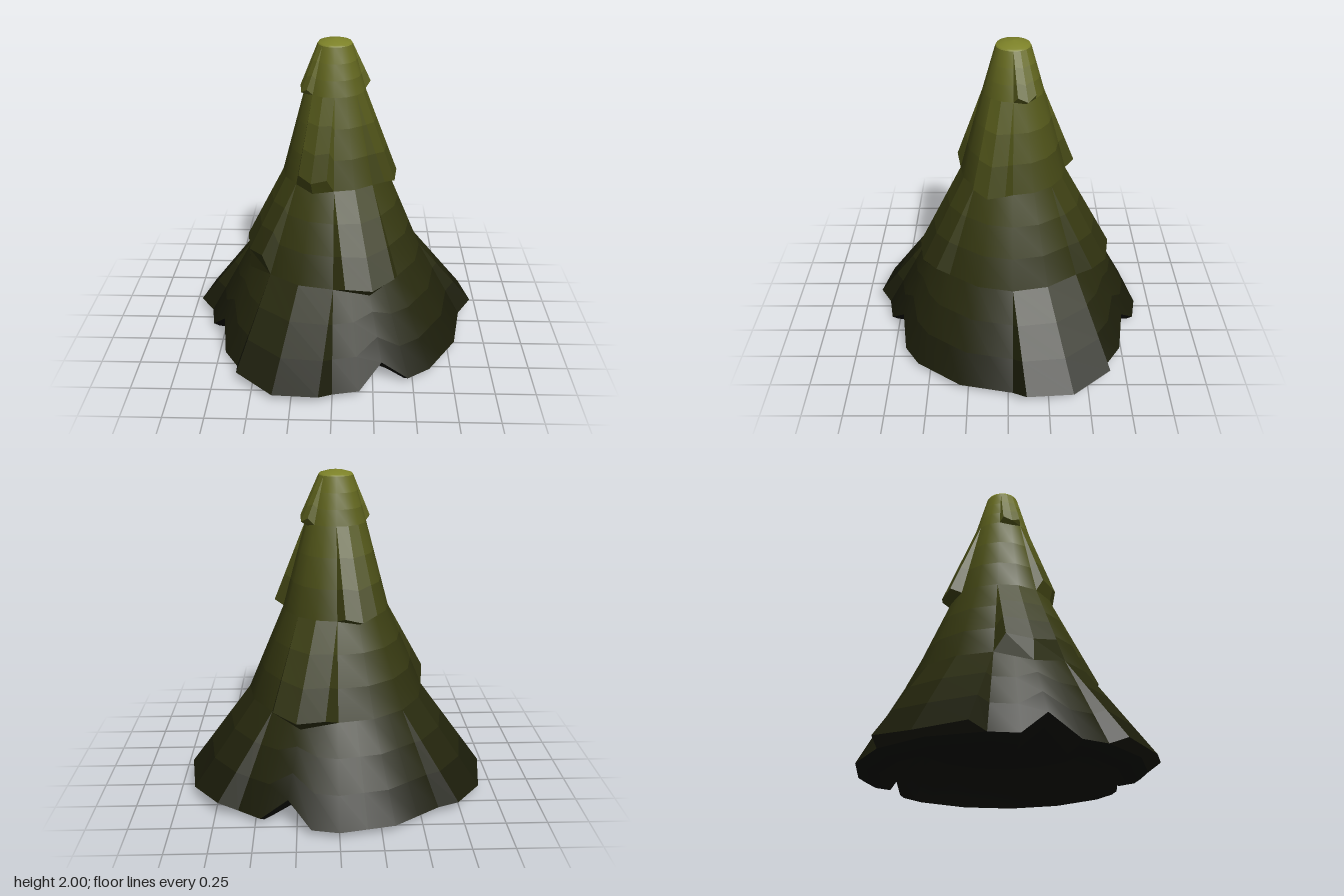
import * as THREE from 'three';
import { toCreasedNormals } from 'three/addons/utils/BufferGeometryUtils.js';

const AXIS_Z = -0.03;
const BANDS = 3;
// Height and radius where the tiers meet, top to bottom, with the colour there
const RINGS = [[1.97, 0.105], [1.69, 0.185], [1.15, 0.33], [0.6, 0.56], [0.045, 0.86]];
const COLORS = [0x6c7022, 0x575b1b, 0x3e4113, 0x2a2c0e, 0x171809].map(c => new THREE.Color(c));

const lerp = (a, b, t) => a.map((v, i) => v + (b[i] - v) * t);
const polar = (deg, r, y) => {
  const a = THREE.MathUtils.degToRad(deg);
  return [r * Math.sin(a), y, r * Math.cos(a)];
};

// Cone radius at a height
function coneRadius(y) {
  let i = 0;
  while (i < RINGS.length - 2 && y < RINGS[i + 1][0]) i++;
  const [y0, r0] = RINGS[i], [y1, r1] = RINGS[i + 1];
  return r0 + (r1 - r0) * (y - y0) / (y1 - y0);
}

// Creased geometry from four-cornered faces, counter-clockwise from outside
function fromQuads(quads, crease) {
  const pos = [];
  for (const [a, b, c, d] of quads) pos.push(...a, ...b, ...c, ...a, ...c, ...d);
  const g = new THREE.BufferGeometry();
  g.setAttribute('position', new THREE.Float32BufferAttribute(pos, 3));
  g.computeVertexNormals();
  return toCreasedNormals(g, crease);
}

// Faces of one colour band of a strip between a top and a bottom row of points
function bandQuads(top, low, band) {
  const a = top.map((p, i) => lerp(p, low[i], band / BANDS));
  const b = top.map((p, i) => lerp(p, low[i], (band + 1) / BANDS));
  return a.slice(1).map((p, i) => [a[i], b[i], b[i + 1], p]);
}

// Raised bough: a wedge growing out of the cone over one tier and a 45 degree sector
function boughBand(a0, tier, thick, rise, band) {
  const yTop = RINGS[tier][0], yBot = RINGS[tier + 1][0];
  const inset = tier === 3 ? 5 : 7;
  const dip = [0.015, 0.025, 0.05, 0][tier];
  const base = [a0, a0 + 22.5, a0 + 45];
  const outer = [a0 + inset, a0 + 22.5, a0 + 45 - inset];
  const top = base.map(a => polar(a, coneRadius(yTop), yTop));
  const lowBase = base.map((a, i) => {
    const y = yBot - (i === 1 ? dip : 0);
    return polar(a, coneRadius(y), y);
  });
  const lowOut = outer.map((a, i) => {
    const y = yBot + rise + (i === 1 ? 0 : 0.03);
    return polar(a, coneRadius(y) + thick * (i === 1 ? 1 : 0.95), y);
  });
  const quads = bandQuads(
    [top[0], ...top, top[2]],
    [lowBase[0], ...lowOut, lowBase[2]], band);
  if (band === BANDS - 1) {
    for (let i = 0; i < 2; i++) quads.push([lowOut[i], lowBase[i], lowBase[i + 1], lowOut[i + 1]]);
  }
  return fromQuads(quads, 0.1);
}

// Columns of the notched bottom tier, from its top edge round the rim into the hollow
const NOTCHES = [22.5, 157.5, 292.5];
const skirt = Array.from({ length: 33 }, (_, k) => {
  const a = (k % 32) * 11.25;
  const chord = k % 2 ? Math.cos(Math.PI / 16) : 1;
  const cut = NOTCHES.includes(a) ? 1 : 0;
  const rimY = RINGS[4][0] + 0.14 * cut;
  return [
    polar(a, RINGS[3][1] * chord, RINGS[3][0]),
    polar(a, coneRadius(rimY) * chord, rimY),
    polar(a, (0.82 - 0.06 * cut) * chord, 0.02 + 0.13 * cut),
    polar(a, 0.72 * chord, 0.12 * cut),
    polar(a, 0.66 * chord, 0.1 + 0.06 * cut),
    polar(a, 0.54 * chord, 0.22),
    [0, 0.23, 0],
  ];
});

function undersideGeometry() {
  const quads = [];
  for (let k = 0; k < 32; k++) {
    const l = skirt[k], r = skirt[k + 1];
    for (let j = 1; j < l.length - 1; j++) quads.push([l[j], l[j + 1], r[j + 1], r[j]]);
  }
  return fromQuads(quads, 0.5);
}

export function createModel() {
  const model = new THREE.Group();
  model.name = 'coniferFoliage';
  model.position.z = AXIS_Z;
  const tree = new THREE.Group();
  tree.name = 'tree';
  model.add(tree);

  const add = (name, geometry, material, parent = tree) => {
    const mesh = new THREE.Mesh(geometry, material);
    mesh.name = name;
    parent.add(mesh);
  };
  const addGroup = name => {
    const group = new THREE.Group();
    group.name = name;
    tree.add(group);
    return group;
  };
  // Colours darken band by band towards the ground
  const materials = RINGS.slice(1).map((_, tier) => Array.from({ length: BANDS }, (_, band) =>
    new THREE.MeshStandardMaterial({
      color: COLORS[tier].clone().lerp(COLORS[tier + 1], (band + 0.5) / BANDS),
    })));

  // Rounded tip
  const tip = [[0.105, 1.97], [0.098, 1.98], [0.05, 1.994], [0, 2]].map(p => new THREE.Vector2(...p));
  add('tip', new THREE.LatheGeometry(tip, 16), new THREE.MeshStandardMaterial({ color: 0x7d8228 }));

  // Four tiers of the cone, the lowest with its notched rim
  ['topTier', 'upperTier', 'middleTier', 'bottomTier'].forEach((name, tier) => {
    const group = addGroup(name);
    const ring = ([y, r]) => Array.from({ length: 17 }, (_, k) => polar((k % 16) * 22.5, r, y));
    const top = tier === 3 ? skirt.map(c => c[0]) : ring(RINGS[tier]);
    const low = tier === 3 ? skirt.map(c => c[1]) : ring(RINGS[tier + 1]);
    materials[tier].forEach((material, band) =>
      add(`${name}Band`, fromQuads(bandQuads(top, low, band), 0.5), material, group));
  });
  add('underside', undersideGeometry(), new THREE.MeshStandardMaterial({ color: 0x0d0e06 }));

  // Raised boughs: start angle (0 = front, 90 = left), tier, thickness, rise of the tip
  const boughs = [
    [-90, 0, 0.035, 0], [90, 0, 0.045, 0.01],
    [-45, 1, 0.045, 0.05], [45, 1, 0.07, -0.005], [180, 1, 0.07, 0],
    [0, 2, 0.065, 0], [-90, 2, 0.06, 0.08], [135, 2, 0.09, 0.01],
    [90, 3, 0.125, 0.025], [-135, 3, 0.115, 0.005], [-45, 3, 0.095, 0.005],
  ];
  boughs.forEach(([a, tier, thick, rise], i) => {
    const group = addGroup(`bough${i + 1}`);
    materials[tier].forEach((material, band) =>
      add('boughBand', boughBand(a, tier, thick, rise, band), material, group));
  });

  return model;
}
